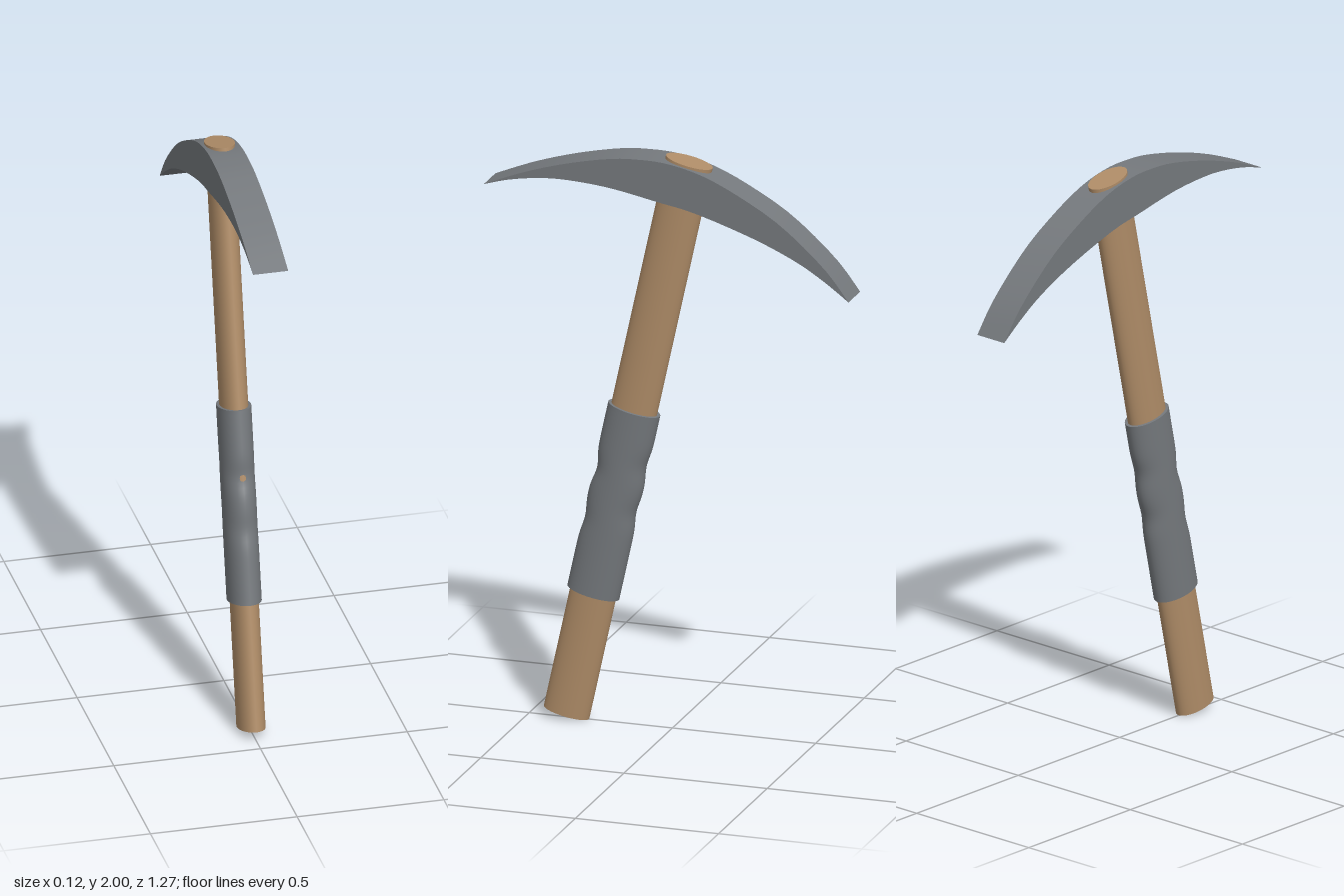
import * as THREE from 'three';
import { toCreasedNormals } from 'three/addons/utils/BufferGeometryUtils.js';

const TILT = 0.215; // lean of the handle towards the back at the top

export function createModel() {
  const group = new THREE.Group();
  const wood = new THREE.MeshStandardMaterial({ color: 0xb08d68 });
  wood.name = 'wood';
  const grey = new THREE.MeshStandardMaterial({ color: 0x75797d });
  grey.name = 'steel grey';

  const add = (name, geometry, material, parent) => {
    const mesh = new THREE.Mesh(geometry, material);
    mesh.name = name;
    parent.add(mesh);
    return mesh;
  };

  // Oval handle parts share one leaning frame centred on the handle
  const shaft = new THREE.Group();
  shaft.name = 'shaft';
  shaft.position.set(0, 0.998, 0.155);
  shaft.rotation.x = -TILT;
  group.add(shaft);

  const oval = (halfWidth, halfDepth, length, segments) =>
    new THREE.CylinderGeometry(1, 1, length, 32, segments).scale(halfWidth, 1, halfDepth);

  add('handle', oval(0.046, 0.08, 2.01, 1), wood, shaft);
  // Slightly flared wooden end above the head
  add('handleCap', oval(0.049, 0.082, 0.018, 1), wood, shaft).position.y = 0.996;

  // Grip sleeve with shallow finger dips on its front and back
  const length = 0.67;
  const gripGeometry = oval(0.056, 0.091, length, 40);
  const dips = {
    front: [[0.38, 0.008], [0.65, 0.012]],
    back: [[0.47, 0.008], [0.72, 0.008]],
  };
  const p = gripGeometry.attributes.position;
  for (let i = 0; i < p.count; i++) {
    const z = p.getZ(i);
    const t = p.getY(i) / length + 0.5;
    let depth = 0;
    for (const [centre, amount] of z > 0 ? dips.front : dips.back)
      depth += amount * Math.exp(-(((t - centre) / 0.07) ** 2));
    p.setZ(i, z * (1 - depth / 0.091));
  }
  gripGeometry.computeVertexNormals();
  add('grip', toCreasedNormals(gripGeometry, 0.7), grey, shaft).position.y = -0.232;

  // Curved pick head: side outline as [z, y], extruded across x
  const vectors = (points) => points.map(([z, y]) => new THREE.Vector2(z, y));
  const upper = vectors([
    [-0.635, 1.568], [-0.55, 1.675], [-0.4, 1.807], [-0.25, 1.897], [-0.12, 1.955],
    [0, 1.983], [0.1, 1.987], [0.2, 1.979], [0.35, 1.947], [0.5, 1.901], [0.638, 1.845],
  ]);
  const lower = vectors([
    [0.638, 1.845], [0.55, 1.87], [0.45, 1.886], [0.35, 1.89], [0.2, 1.878],
    [0.03, 1.846], [-0.1, 1.82], [-0.3, 1.755], [-0.45, 1.69], [-0.55, 1.63], [-0.635, 1.568],
  ]);
  const outline = new THREE.Shape();
  outline.moveTo(upper[0].x, upper[0].y);
  outline.splineThru(upper.slice(1));
  outline.splineThru(lower.slice(1));
  const headGeometry = new THREE.ExtrudeGeometry(outline, {
    depth: 0.12, bevelEnabled: false, curveSegments: 3,
  });
  headGeometry.translate(0, 0, -0.06).rotateY(-Math.PI / 2);
  add('pickHead', toCreasedNormals(headGeometry, 0.5), grey, group);

  return group;
}
